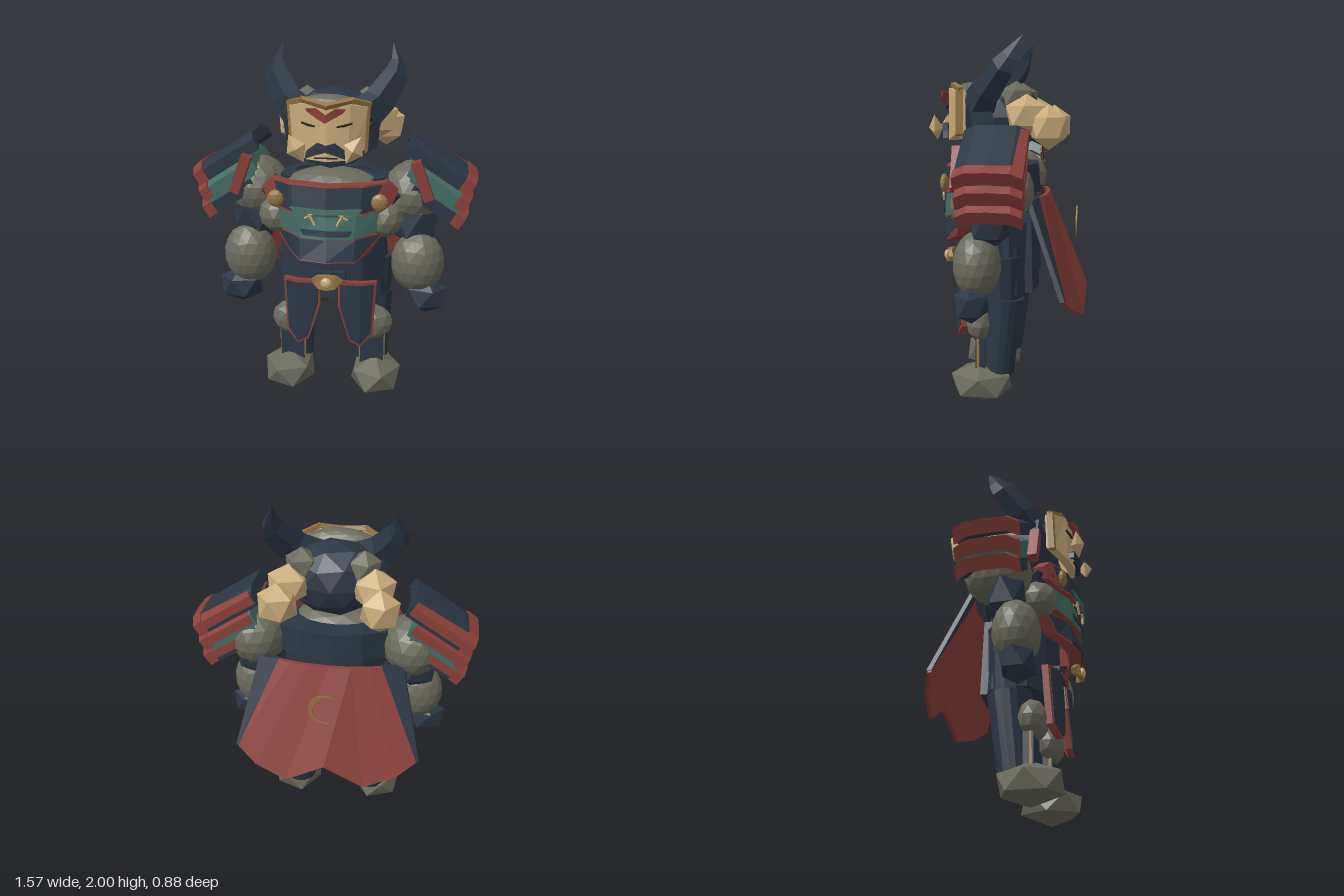
import * as THREE from 'three';

const mat = (name, hex) => { const m = new THREE.MeshStandardMaterial({ color: hex }); m.name = name; return m; };

export function createModel() {
  const root = new THREE.Group();
  root.name = 'armouredFigure';
  const navy = mat('navy', 0x2b3643), grey = mat('olive grey', 0x69695c), tan = mat('tan', 0xc9ab7b);
  const gold = mat('gold', 0x957343), red = mat('red', 0x8a3f39), teal = mat('teal', 0x426c63);
  const dark = mat('dark', 0x22241f);

  // Faceted mesh; pair() also adds its mirror image across x
  const add = (name, geo, m) => {
    const g = geo.index ? geo.toNonIndexed() : geo;
    g.computeVertexNormals();
    const mesh = new THREE.Mesh(g, m);
    mesh.name = name;
    root.add(mesh);
    return g;
  };
  const pair = (name, geo, m) => {
    const g = add(name + 'Left', geo, m), r = g.clone(), p = r.attributes.position;
    for (let i = 0; i < p.count; i += 3) {
      const q = [0, 2, 1].map(k => new THREE.Vector3().fromBufferAttribute(g.attributes.position, i + k));
      q.forEach((v, k) => p.setXYZ(i + k, -v.x, v.y, v.z));
    }
    add(name + 'Right', r, m);
  };

  // Ellipsoid from an icosahedron standing on one corner
  const ball = (c, r, detail = 0) => new THREE.IcosahedronGeometry(1, detail)
    .rotateZ(-0.5536).scale(...r).translate(...c);
  const drum = (c, rt, rb, h, sides, sx = 1, sz = 1, tilt = 0) =>
    new THREE.CylinderGeometry(rt, rb, h, sides).scale(sx, 1, sz).rotateX(tilt).translate(...c);

  // Plate from columns [xTop,yTop,zTop, xBottom,yBottom,zBottom]; mirrored if it starts at x = 0
  const plate = (cols, t) => {
    if (cols[0][0] === 0) cols = [...cols.slice(1).reverse().map(c => [-c[0], c[1], c[2], -c[3], c[4], c[5]]), ...cols];
    const out = [];
    const quad = (a, b, c, d) => [a, b, c, a, c, d].forEach(v => out.push(...v));
    const k = cols.map(c => ({
      T: c.slice(0, 3), B: c.slice(3), t: [c[0], c[1], c[2] - t], b: [c[3], c[4], c[5] - t]
    }));
    for (let i = 0; i + 1 < k.length; i++) {
      const l = k[i], r = k[i + 1];
      quad(l.B, r.B, r.T, l.T);
      quad(r.b, l.b, l.t, r.t);
      quad(l.T, r.T, r.t, l.t);
      quad(l.b, r.b, r.B, l.B);
    }
    const l = k[0], r = k[k.length - 1];
    quad(l.b, l.B, l.T, l.t);
    quad(r.B, r.b, r.t, r.T);
    const g = new THREE.BufferGeometry();
    g.setAttribute('position', new THREE.Float32BufferAttribute(out, 3));
    return g;
  };
  // Smaller copy of a plate's columns, raised a little, so the plate below reads as trim
  const inset = (cols, f = 0.1, s = 0.93, dz = 0.012) => {
    const cx = cols[0][0] === 0 ? 0 : (cols[0][0] + cols[cols.length - 1][0]) / 2;
    return cols.map(c => {
      const mix = (i, u) => c[i] + (c[i + 3] - c[i]) * u;
      const sx = x => cx + (x - cx) * s;
      return [sx(mix(0, f)), mix(1, f), mix(2, f) + dz, sx(mix(0, 1 - f)), mix(1, 1 - f), mix(2, 1 - f) + dz];
    });
  };
  const bar = (a, b, r) => {
    const A = new THREE.Vector3(...a), B = new THREE.Vector3(...b), d = B.clone().sub(A);
    const q = new THREE.Quaternion().setFromUnitVectors(new THREE.Vector3(0, 1, 0), d.clone().normalize());
    return new THREE.CylinderGeometry(r, r, d.length() + r, 4).applyQuaternion(q).translate(...A.add(B).multiplyScalar(0.5));
  };

  // Head and helmet
  add('helmet', ball([0, 1.58, 0.03], [0.26, 0.208, 0.205], 1), navy);
  add('forehead', ball([0, 1.69, 0.23], [0.205, 0.085, 0.08], 2), grey);
  add('jawGuard', plate([[0, 1.55, 0.25, 0, 1.375, 0.2], [0.14, 1.55, 0.25, 0.12, 1.405, 0.2],
    [0.255, 1.66, 0.2, 0.24, 1.49, 0.17]], 0.12), navy);
  add('faceMask', plate([[0, 1.71, 0.35, 0, 1.45, 0.36], [0.12, 1.74, 0.33, 0.11, 1.455, 0.335],
    [0.205, 1.72, 0.275, 0.19, 1.5, 0.275]], 0.05), tan);
  pair('maskSide', plate([[0.2, 1.72, 0.278, 0.188, 1.48, 0.282], [0.215, 1.73, 0.27, 0.203, 1.49, 0.275]], 0.035), gold);
  const rim = [[0, 1.73, 0.34], [0.13, 1.755, 0.3], [0.205, 1.73, 0.25]];
  rim.slice(1).forEach((p, i) => pair('maskRim', bar(rim[i], p, 0.018), gold));
  add('browMark', plate([[0, 1.692, 0.4, 0, 1.655, 0.4], [0.05, 1.725, 0.39, 0.045, 1.68, 0.39],
    [0.1, 1.72, 0.37, 0.09, 1.705, 0.37]], 0.03), red);
  pair('eye', plate([[0.055, 1.634, 0.36, 0.055, 1.628, 0.36], [0.09, 1.642, 0.354, 0.09, 1.63, 0.354],
    [0.13, 1.65, 0.338, 0.13, 1.642, 0.338]], 0.009), dark);
  add('moustache', plate([[0, 1.535, 0.39, 0, 1.505, 0.39], [0.045, 1.548, 0.385, 0.05, 1.49, 0.385],
    [0.1, 1.505, 0.37, 0.108, 1.465, 0.37]], 0.03), navy);
  add('mouth', plate([[0, 1.474, 0.37, 0, 1.468, 0.37], [0.06, 1.472, 0.362, 0.06, 1.466, 0.362]], 0.008), dark);
  pair('cheekTuft', new THREE.OctahedronGeometry(1).scale(0.055, 0.08, 0.04).rotateZ(-0.5).translate(0.145, 1.525, 0.4), tan);

  // Horns: five-sided rings joined along a bent path
  const horn = [[0.165, 1.65, 0.15, 0.11], [0.25, 1.72, 0.1, 0.09], [0.33, 1.845, 0, 0.07], [0.335, 1.9, -0.04, 0.048], [0.302, 2, -0.095, 0.002]];
  const hornGeo = new THREE.CylinderGeometry(1, 1, 4, 5, 4);
  const hp = hornGeo.attributes.position;
  for (let i = 0; i < hp.count; i++) {
    const [x, y, z, r] = horn[Math.round(hp.getY(i) + 2)];
    const u = hp.getX(i) * r, v = hp.getZ(i) * r;
    hp.setXYZ(i, x + u * 0.85, y - u * 0.5 + v * 0.45, z + v * 0.85);
  }
  pair('horn', hornGeo, navy);

  // Hair tufts
  pair('hairRoot', ball([0.165, 1.68, -0.05], [0.095, 0.095, 0.1]), grey);
  pair('hairMiddle', ball([0.225, 1.59, -0.11], [0.125, 0.115, 0.125]), tan);
  pair('hairEnd', ball([0.265, 1.53, -0.23], [0.115, 0.12, 0.11]), tan);

  // Torso, collar and hips
  add('torso', drum([0, 1.08, 0.05], 0.3, 0.29, 0.46, 10, 1, 0.66), navy);
  add('upperChest', ball([0, 1.25, 0.13], [0.27, 0.115, 0.17], 2), grey);
  add('collar', plate([[0, 1.32, -0.05, 0, 1.16, -0.06], [0.16, 1.33, -0.03, 0.18, 1.17, -0.03],
    [0.3, 1.3, 0.07, 0.32, 1.15, 0.07]], 0.11), navy);
  pair('pectoral', ball([0.295, 1.105, 0.19], [0.105, 0.105, 0.11], 1), grey);
  pair('shoulderStrap', new THREE.OctahedronGeometry(1).scale(0.08, 0.1, 0.08).translate(0.3, 1.24, 0.21), navy);
  add('waist', drum([0, 0.86, 0.04], 0.31, 0.31, 0.3, 10, 1, 0.68), navy);
  add('skirt', drum([0, 0.77, 0.03], 0.3, 0.325, 0.3, 12, 1, 0.6), navy);
  add('backSkirt', plate([[0, 1.06, -0.115, 0, 0.62, -0.12], [0.2, 1.06, -0.09, 0.22, 0.62, -0.1]], 0.045), navy);

  // Breastplate layers, each with trim behind its inset face
  const upper = [[0, 1.32, 0.36, 0, 1.18, 0.385], [0.2, 1.325, 0.33, 0.19, 1.17, 0.36],
    [0.31, 1.33, 0.27, 0.27, 1.18, 0.31], [0.365, 1.27, 0.24, 0.34, 1.21, 0.26]];
  const middle = [[0, 1.2, 0.34, 0, 1.025, 0.375], [0.17, 1.2, 0.33, 0.15, 1.025, 0.35], [0.32, 1.19, 0.25, 0.27, 1.06, 0.28]];
  const lower = [[0, 1.03, 0.33, 0, 0.895, 0.375], [0.16, 1.03, 0.32, 0.15, 0.895, 0.35], [0.3, 1.04, 0.23, 0.22, 0.93, 0.28]];
  add('upperBreastTrim', plate(upper, 0.06), red);
  add('upperBreastplate', plate(inset(upper, 0.07, 0.93), 0.015), navy);
  add('upperBreastInlay', plate([[0, 1.205, 0.4, 0, 1.178, 0.404], [0.19, 1.205, 0.375, 0.17, 1.178, 0.38]], 0.016), teal);
  add('middleBreastTrim', plate(middle, 0.08), red);
  add('middleBreastplate', plate(inset(middle, 0.03, 0.96, 0.008), 0.008), teal);
  add('breastSlot', plate([[0, 1.08, 0.384, 0, 1.05, 0.39], [0.14, 1.08, 0.363, 0.12, 1.05, 0.37]], 0.009), navy);
  add('breastLine', plate([[0, 1.172, 0.366, 0, 1.155, 0.37], [0.09, 1.172, 0.358, 0.09, 1.155, 0.362]], 0.009), navy);
  add('lowerBreastTrim', plate(lower, 0.07), red);
  add('lowerBreastplate', plate(inset(lower, 0.07, 0.95), 0.015), navy);
  pair('breastStud', ball([0.275, 1.235, 0.33], [0.045, 0.048, 0.022], 1), gold);
  pair('breastClasp', bar([0.06, 1.115, 0.38], [0.1, 1.19, 0.375], 0.007), tan);
  pair('breastClaspCross', bar([0.065, 1.175, 0.378], [0.11, 1.145, 0.37], 0.006), tan);

  // Arms
  pair('shoulder', ball([0.44, 1.21, 0.01], [0.17, 0.175, 0.185], 2), grey);
  pair('upperArm', ball([0.455, 1.05, 0.06], [0.145, 0.16, 0.12]), navy);
  pair('forearm', ball([0.48, 0.83, 0.12], [0.15, 0.18, 0.125], 2), grey);
  pair('hand', ball([0.535, 0.64, 0.14], [0.135, 0.108, 0.1]), navy);

  // Shoulder armour: three overlapping sloped layers, red along the outer and rear edges
  const slope = 0.56, d = new THREE.Vector3(Math.cos(slope), -Math.sin(slope), 0);
  const basis = new THREE.Matrix4().makeBasis(new THREE.Vector3(0, 0, -1), d.clone().negate(),
    new THREE.Vector3(Math.sin(slope), Math.cos(slope), 0));
  const onSlope = (start, cols, t) => plate(cols, t).applyMatrix4(basis.clone().setPosition(...start));
  const layer = (start, from, to, w, lift, t) => onSlope(start, [[0, -from, lift, 0, -to, lift],
    [w * 0.65, -from, lift, w * 0.65, -to, lift - 0.005], [w, -from, lift - 0.03, w, -to, lift - 0.035]], t);
  [[0.44, 1.545, 0.405, navy], [0.455, 1.425, 0.36, teal], [0.465, 1.315, 0.33, navy]].forEach(([x, y, len, m], i) => {
    const s = [x, y, 0.025], w = 0.165 - i * 0.004;
    pair('shoulderLayer' + i, layer(s, 0, len - 0.06, w, 0, 0.065), m);
    pair('shoulderLayerEdge' + i, layer(s, len - 0.06, len, w + 0.004, 0.006, 0.073), red);
    pair('shoulderLayerRearEdge' + i, onSlope(s, [[w * 0.78, -0.02, -0.006, w * 0.7, 0.06 - len, -0.003],
      [w + 0.004, -0.01, -0.025, w + 0.004, 0.06 - len, -0.028]], 0.05), red);
  });
  pair('shoulderUnderLayer', layer([0.45, 1.365, 0.025], 0, 0.32, 0.16, 0, 0.03), teal);
  pair('shoulderFrontGuard', new THREE.BoxGeometry(0.055, 0.22, 0.05).rotateZ(0.36).translate(0.49, 1.33, 0.22), red);

  // Belt buckle and hip panels
  add('buckle', plate([[0, 0.82, 0.37, 0, 0.74, 0.385], [0.05, 0.815, 0.365, 0.045, 0.745, 0.375],
    [0.085, 0.785, 0.35, 0.07, 0.755, 0.35]], 0.025), gold);
  add('buckleStud', ball([0, 0.78, 0.375], [0.032, 0.032, 0.02], 1), tan);
  add('belt', plate([[0, 0.8, 0.28, 0, 0.72, 0.28], [0.09, 0.8, 0.265, 0.09, 0.74, 0.265]], 0.04), navy);
  add('beltTrim', plate([[0, 0.76, 0.295, 0, 0.74, 0.295], [0.1, 0.755, 0.28, 0.1, 0.74, 0.28]], 0.02), red);
  const panel = [[0.05, 0.73, 0.265, 0.05, 0.6, 0.275], [0.1, 0.745, 0.275, 0.115, 0.39, 0.285],
    [0.18, 0.745, 0.275, 0.18, 0.355, 0.285], [0.262, 0.74, 0.235, 0.245, 0.42, 0.25]];
  pair('hipPanelTrim', plate(panel, 0.035), red);
  pair('hipPanel', plate(inset(panel, 0.04, 0.88, 0.008), 0.015), navy);

  // Legs
  pair('thigh', drum([0.175, 0.68, 0.02], 0.13, 0.12, 0.3, 12, 1.25, 0.9), navy);
  pair('shin', drum([0.225, 0.38, 0.025], 0.105, 0.085, 0.44, 16, 1.08, 1, -0.09), navy);
  pair('knee', ball([0.225, 0.45, 0.145], [0.13, 0.11, 0.08], 1), grey);
  pair('shinGuardTrim', new THREE.BoxGeometry(0.15, 0.2, 0.014).translate(0.235, 0.27, 0.148), gold);
  pair('shinGuard', new THREE.BoxGeometry(0.138, 0.2, 0.05).translate(0.235, 0.272, 0.132), navy);
  pair('shinGuardFace', new THREE.BoxGeometry(0.138, 0.2, 0.008).translate(0.235, 0.272, 0.158), navy);
  pair('foot', ball([0.257, 0.115, 0.135], [0.163, 0.115, 0.192]), grey);

  // Cape with side borders and a floating crescent
  const cape = [[0, 1.16, -0.2, 0, 0.64, -0.42], [0.12, 1.16, -0.195, 0.22, 0.51, -0.407],
    [0.22, 1.16, -0.18, 0.4, 0.57, -0.367], [0.29, 1.16, -0.16, 0.51, 0.65, -0.315]];
  add('cape', plate(cape, 0.022), red);
  pair('capeBorder', plate([[0.285, 1.165, -0.157, 0.505, 0.66, -0.313], [0.4, 1.155, -0.125, 0.523, 0.655, -0.31]], 0.027), navy);
  const moon = new THREE.Shape();
  moon.absarc(0, 0, 0.09, -2.1, 2.1, false);
  moon.absarc(-0.018, 0, 0.083, 1.9, -1.9, true);
  add('capeCrescent', new THREE.ExtrudeGeometry(moon, { depth: 0.008, bevelEnabled: false, curveSegments: 14 })
    .rotateZ(0.3).translate(0, 0.99, -0.382), gold);

  return root;
}
